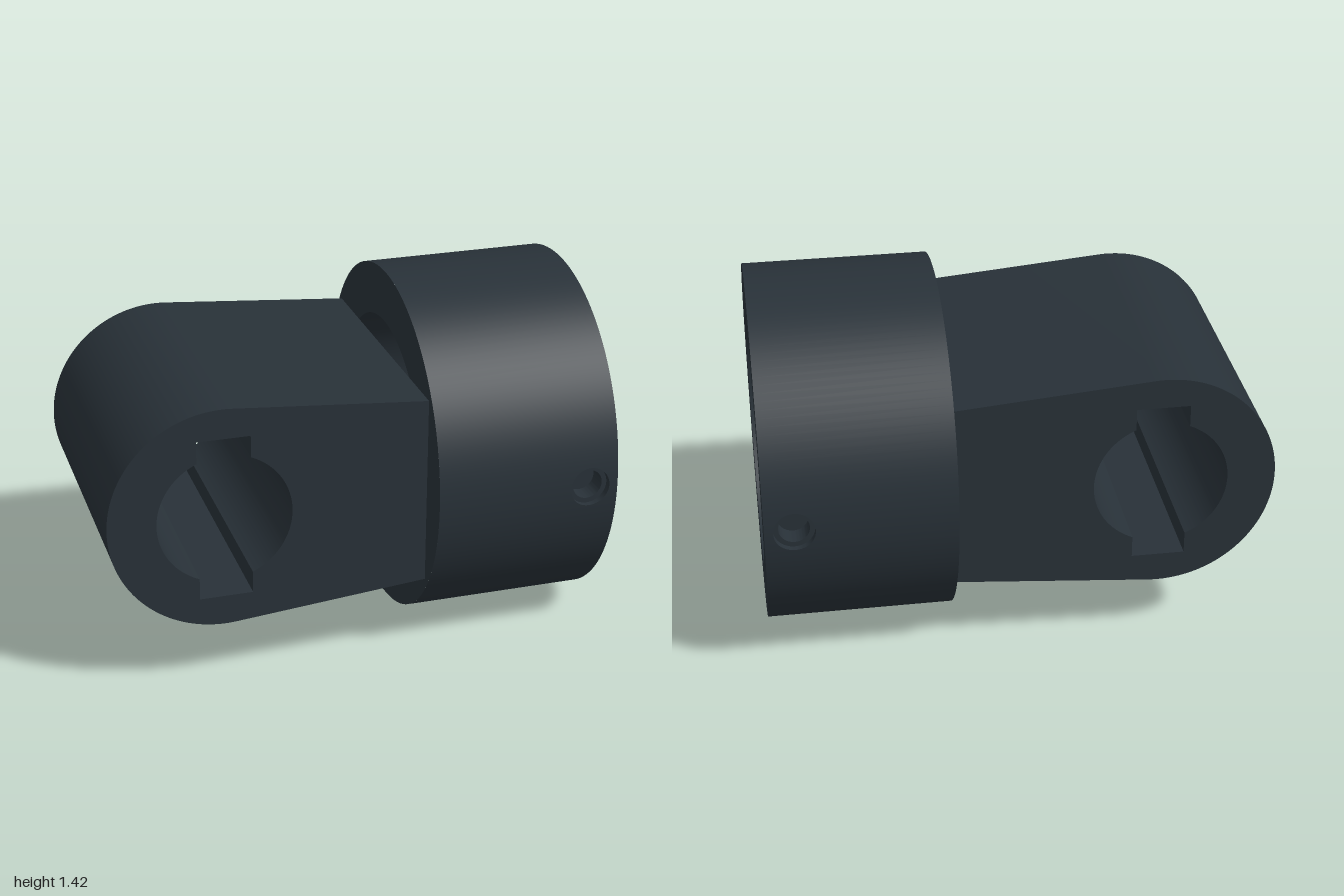
import * as THREE from 'three';
import { mergeGeometries, toCreasedNormals } from 'three/addons/utils/BufferGeometryUtils.js';

const AXIS_Y = 0.71;                                  // height of both bore axes
const R_OUT = 0.71, R_IN = 0.5, X0 = 0.264, X1 = 1;   // collar
const HOLE_X = 0.886, PATCH = 0.1;                    // screw holes in the collar wall
const PATCH_ANGLE = Math.asin(PATCH / R_OUT);

// Surface of revolution about x for one profile segment [radius, x]
function turned(from, to, start = 0, length = Math.PI * 2, segments = 128) {
  const points = [from, to].map(([r, x]) => new THREE.Vector2(r, x));
  return new THREE.LatheGeometry(points, segments, start, length).rotateZ(-Math.PI / 2);
}

// Skin between closed loops, ordered from the outermost to the innermost
function loft(loops) {
  const n = loops[0].length, index = [];
  for (let i = 0; i < loops.length - 1; i++) {
    for (let j = 0; j < n; j++) {
      const a = i * n + j, b = i * n + (j + 1) % n;
      index.push(a, b, a + n, b, b + n, a + n);
    }
  }
  const geometry = new THREE.BufferGeometry();
  geometry.setAttribute('position', new THREE.Float32BufferAttribute(loops.flat(2), 3));
  geometry.setIndex(index);
  geometry.computeVertexNormals();
  return geometry;
}

// Loop around z; depth is fixed, or follows the collar's outer wall
function loop(radius, depth, square = false) {
  return Array.from({ length: 64 }, (_, i) => {
    const t = (i / 64) * Math.PI * 2, c = Math.cos(t), s = Math.sin(t);
    const k = square ? radius / Math.max(Math.abs(c), Math.abs(s)) : radius;
    const y = s * k;
    return [c * k, y, depth ?? Math.sqrt(R_OUT * R_OUT - y * y)];
  });
}

function lugGeometry() {
  const cx = -0.547, r = 0.453, endX = 0.262, endY = 0.385, tangent = 1.4855;
  const shape = new THREE.Shape();
  shape.moveTo(endX, -endY);
  shape.lineTo(endX, endY);
  shape.absarc(cx, 0, r, tangent, Math.PI * 2 - tangent, false);
  shape.closePath();

  // Round bore with a keyway above and below
  const boreR = 0.265, w = 0.105, h = 0.332, a = Math.asin(w / boreR), bx = -0.545;
  const bore = new THREE.Path();
  bore.absarc(bx, 0, boreR, -Math.PI / 2 + a, Math.PI / 2 - a, false);
  bore.lineTo(bx + w, h);
  bore.lineTo(bx - w, h);
  bore.absarc(bx, 0, boreR, Math.PI / 2 + a, Math.PI * 1.5 - a, false);
  bore.lineTo(bx - w, -h);
  bore.lineTo(bx + w, -h);
  bore.closePath();
  shape.holes.push(bore);

  const depth = 1.13;
  const geometry = new THREE.ExtrudeGeometry(shape, { depth, bevelEnabled: false, curveSegments: 64 });
  return toCreasedNormals(geometry.translate(0, 0, -depth / 2), 0.4);
}

function collarGeometry() {
  const parts = [
    turned([R_IN, X1], [R_IN, X0]),     // bore
    turned([R_OUT, X1], [R_IN, X1]),    // open end
    turned([R_IN, X0], [R_OUT, X0]),    // end towards the lug
  ];
  // Outer wall, leaving a square opening at each screw hole
  for (const angle of [0, Math.PI]) {
    const start = angle - PATCH_ANGLE, width = PATCH_ANGLE * 2;
    parts.push(
      turned([R_OUT, X0], [R_OUT, X1], angle + PATCH_ANGLE, Math.PI - width, 64),
      turned([R_OUT, X0], [R_OUT, HOLE_X - PATCH], start, width, 16),
      turned([R_OUT, HOLE_X + PATCH], [R_OUT, X1], start, width, 16));
  }
  return mergeGeometries(parts);
}

// Wall around a screw hole, with normals of the round collar
function holeSurroundGeometry() {
  const geometry = loft([loop(PATCH, null, true), loop(0.08, null)]);
  const p = geometry.attributes.position, n = geometry.attributes.normal;
  for (let i = 0; i < p.count; i++) n.setXYZ(i, 0, p.getY(i) / R_OUT, p.getZ(i) / R_OUT);
  return geometry;
}

// Blind hole with a flat counterbore
function screwHoleGeometry() {
  return toCreasedNormals(
    loft([loop(0.08, null), loop(0.08, 0.68), loop(0.06, 0.68), loop(0.06, 0.6), loop(0.0001, 0.6)]), 0.5);
}

export function createModel() {
  const model = new THREE.Group();
  model.name = 'shaftConnector';
  const darkSlate = new THREE.MeshStandardMaterial({ color: 0x283138 });
  darkSlate.name = 'dark slate';

  function add(name, geometry, parent = model) {
    const mesh = new THREE.Mesh(geometry, darkSlate);
    mesh.name = name;
    parent.add(mesh);
    return mesh;
  }

  add('keyedLug', lugGeometry()).position.y = AXIS_Y;
  add('collar', collarGeometry()).position.y = AXIS_Y;

  // Matching screw holes, front and back
  const surround = holeSurroundGeometry(), hole = screwHoleGeometry();
  for (const [name, turn] of [['frontScrewHole', 0], ['backScrewHole', Math.PI]]) {
    const group = new THREE.Group();
    group.name = name;
    group.position.set(HOLE_X, AXIS_Y, 0);
    group.rotation.y = turn;
    add('holeSurround', surround, group);
    add('counterboredHole', hole, group);
    model.add(group);
  }
  return model;
}
